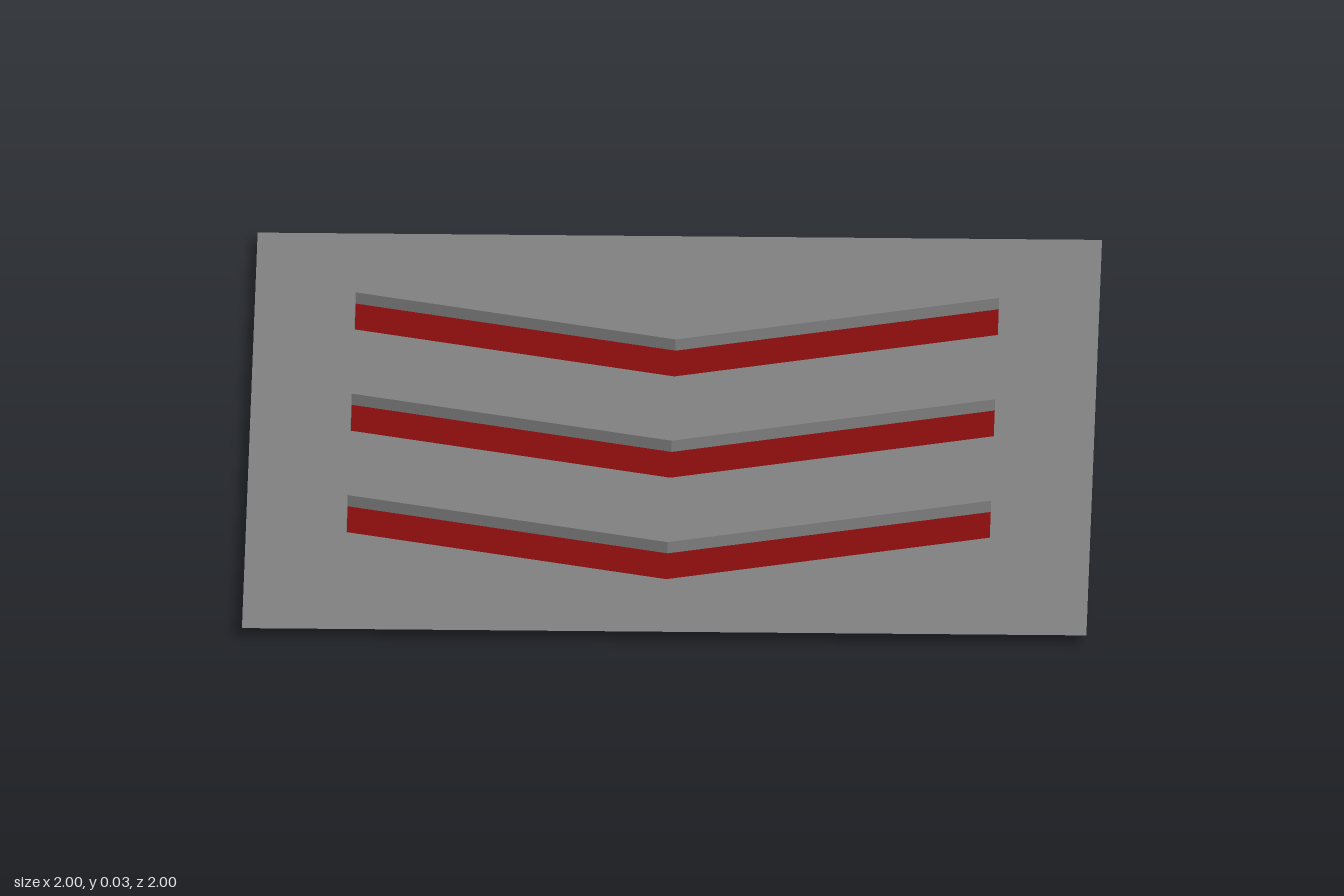
import * as THREE from 'three';

const TOP = 0.03;          // height of the sheet above the recess floors
const HALF_WIDTH = 0.762;  // half the width of each chevron
const BAND = 0.187;        // chevron band size along z
const DROP = 0.224;        // how far the chevron point sits in front of its ends
const STARTS = [-0.702, -0.19, 0.323]; // back end of each chevron

// Corners of one chevron in shape space (shape y = -z)
function chevronPoints(z) {
  return [
    [-HALF_WIDTH, z], [0, z + DROP], [HALF_WIDTH, z],
    [HALF_WIDTH, z + BAND], [0, z + DROP + BAND], [-HALF_WIDTH, z + BAND],
  ].map(([x, zz]) => new THREE.Vector2(x, -zz));
}

// Flat horizontal face from a shape
function flatFace(shape, y) {
  return new THREE.ShapeGeometry(shape).rotateX(-Math.PI / 2).translate(0, y, 0);
}

// Upright walls around a recess, facing inward
function wallGeometry(points) {
  const positions = [];
  points.forEach((a, i) => {
    const b = points[(i + 1) % points.length];
    positions.push(
      a.x, 0, -a.y, b.x, 0, -b.y, b.x, TOP, -b.y,
      a.x, 0, -a.y, b.x, TOP, -b.y, a.x, TOP, -a.y,
    );
  });
  const geometry = new THREE.BufferGeometry();
  geometry.setAttribute('position', new THREE.Float32BufferAttribute(positions, 3));
  geometry.computeVertexNormals();
  return geometry;
}

export function createModel() {
  const grey = new THREE.MeshStandardMaterial({ color: 0x808080, side: THREE.DoubleSide });
  grey.name = 'grey';
  const red = new THREE.MeshStandardMaterial({ color: 0x850d0d, side: THREE.DoubleSide });
  red.name = 'dark red';

  const model = new THREE.Group();
  model.name = 'chevronPanel';
  const add = (name, geometry, material) => {
    const mesh = new THREE.Mesh(geometry, material);
    mesh.name = name;
    model.add(mesh);
  };

  // Square sheet with three chevron openings
  const sheet = new THREE.Shape([
    new THREE.Vector2(-1, -1), new THREE.Vector2(1, -1),
    new THREE.Vector2(1, 1), new THREE.Vector2(-1, 1),
  ]);
  STARTS.forEach((z) => sheet.holes.push(new THREE.Path(chevronPoints(z))));
  add('sheet', flatFace(sheet, TOP), grey);

  // Recess walls and red floors
  STARTS.forEach((z, i) => {
    const points = chevronPoints(z);
    add(`recessWalls${i + 1}`, wallGeometry(points), grey);
    add(`chevronFloor${i + 1}`, flatFace(new THREE.Shape(points), 0), red);
  });

  return model;
}
